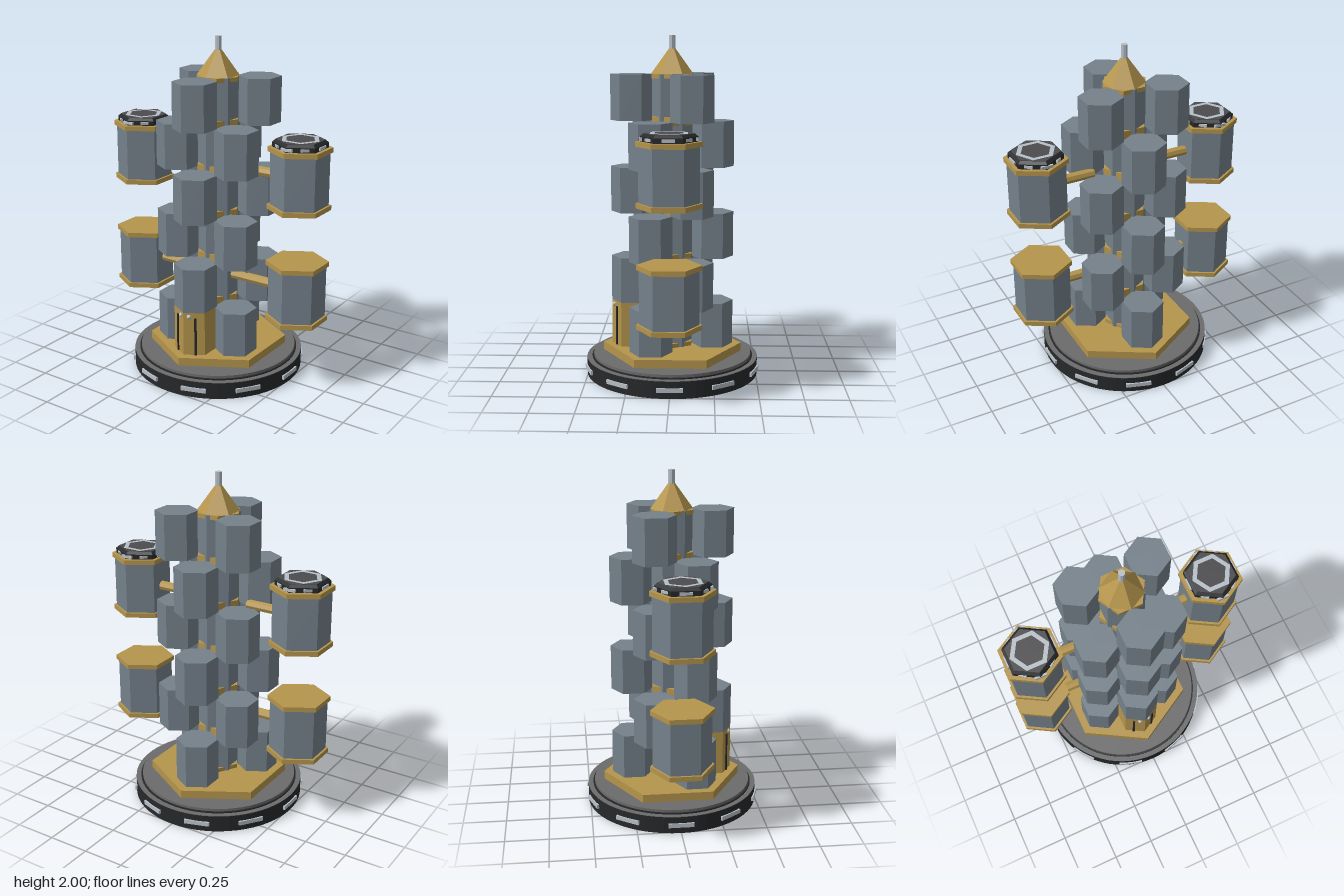
import * as THREE from 'three';

const mat = (color, extra = {}) => new THREE.MeshStandardMaterial({ color, flatShading: true, ...extra });

export function createModel() {
  const root = new THREE.Group();
  const slate = mat(0x75818b), gold = mat(0xb5954c), black = mat(0x26282a);
  const grey = mat(0x6b6b6b), darkGrey = mat(0x4c4c4e), light = mat(0xb8c0c8);

  const add = (name, geometry, material, x = 0, y = 0, z = 0, parent = root) => {
    const m = new THREE.Mesh(geometry, material);
    m.name = name;
    m.position.set(x, y, z);
    parent.add(m);
    return m;
  };
  // upright prism between two heights, a corner facing +z
  const prism = (name, material, r, y0, y1, { x = 0, z = 0, top = r, sides = 6, parent = root } = {}) =>
    add(name, new THREE.CylinderGeometry(top, r, y1 - y0, sides), material, x, (y0 + y1) / 2, z, parent);

  // round base
  prism('baseDisc', black, 0.51, 0, 0.1, { sides: 64 });
  prism('baseTop', grey, 0.51, 0.1, 0.103, { sides: 64 });
  prism('baseGroove', black, 0.48, 0.103, 0.11, { sides: 64 });
  prism('baseStep', grey, 0.47, 0.11, 0.126, { sides: 64 });
  prism('plinth', gold, 0.412, 0.126, 0.175);
  for (let i = 0; i < 10; i++) {
    const a = (i + 0.5) * Math.PI / 5;
    add('baseWindow', new THREE.BoxGeometry(0.15, 0.025, 0.022), light,
      Math.sin(a) * 0.506, 0.05, Math.cos(a) * 0.506).rotation.y = a;
  }

  // core and the six storeys, three pods each, turned by 60 degrees every storey
  const floor0 = 0.175, storey = 0.2675, ring = 0.235, podR = 0.125;
  prism('core', slate, 0.125, floor0, floor0 + 6 * storey - 0.002);
  for (let level = 0; level < 6; level++) {
    const y0 = floor0 + level * storey, y1 = y0 + storey;
    for (let k = 0; k < 3; k++) {
      const a = (level % 2 ? 0 : Math.PI) + k * Math.PI * 2 / 3;
      prism('pod', slate, podR, y0, y1 - 0.001, { x: Math.sin(a) * ring, z: Math.cos(a) * ring });
    }
    for (const y of [y0, y1 - 0.025])
      prism('coreBand', gold, 0.133, y, y + 0.025).rotation.y = Math.PI / 6;
  }

  // roof and mast
  prism('roof', gold, 0.122, 1.78, 1.925, { top: 0.018 });
  prism('mast', light, 0.019, 1.915, 2, { sides: 8 });

  // entrance below the front pod
  prism('entrance', gold, podR, floor0, floor0 + storey, { z: ring });
  for (const s of [-1, 1]) {
    add('entranceSlot', new THREE.BoxGeometry(0.014, 0.235, 0.012), black, s * 0.062, 0.293, 0.325)
      .rotation.y = s * Math.PI / 6;
    add('entranceLamp', new THREE.SphereGeometry(0.014, 12, 8), light, s * 0.028, 0.417, 0.342);
  }

  // outrigger modules on both sides
  const px = 0.545;
  for (const s of [-1, 1]) {
    for (const [y0, armY, armX, capped] of [[0.41, 0.593, 0.1, false], [1.08, 1.26, 0.2, true]]) {
      const module = new THREE.Group();
      module.name = 'sideModule';
      module.position.set(s * px, y0, 0);
      root.add(module);
      prism('moduleBody', slate, 0.165, 0.028, 0.332, { parent: module });
      prism('moduleFloor', gold, 0.18, 0, 0.028, { parent: module });
      prism('moduleRoof', gold, 0.18, 0.332, 0.36, { parent: module });

      const arm = add('arm', new THREE.CylinderGeometry(0.029, 0.029, 0.42 - armX, 8),
        gold, s * (armX + 0.42) / 2, armY, 0);
      arm.rotation.z = Math.PI / 2;

      if (!capped) continue;
      // landing cap with light strips and a hexagonal marking
      prism('cap', black, 0.155, 0.36, 0.388, { parent: module });
      prism('capBevel', black, 0.155, 0.388, 0.402, { top: 0.138, parent: module });
      prism('capTop', darkGrey, 0.137, 0.402, 0.404, { parent: module });
      const marking = add('capMarking', new THREE.RingGeometry(0.088, 0.116, 6),
        light, 0, 0.4055, 0, module);
      marking.rotation.x = -Math.PI / 2;
      for (let i = 0; i < 8; i++) {
        const a = i * Math.PI / 4, r = i % 4 === 0 ? 0.149 : 0.135;
        add('capLight', new THREE.BoxGeometry(0.07, 0.016, 0.014), light,
          Math.sin(a) * r, 0.374, Math.cos(a) * r, module).rotation.y = a;
      }
    }
  }
  return root;
}
